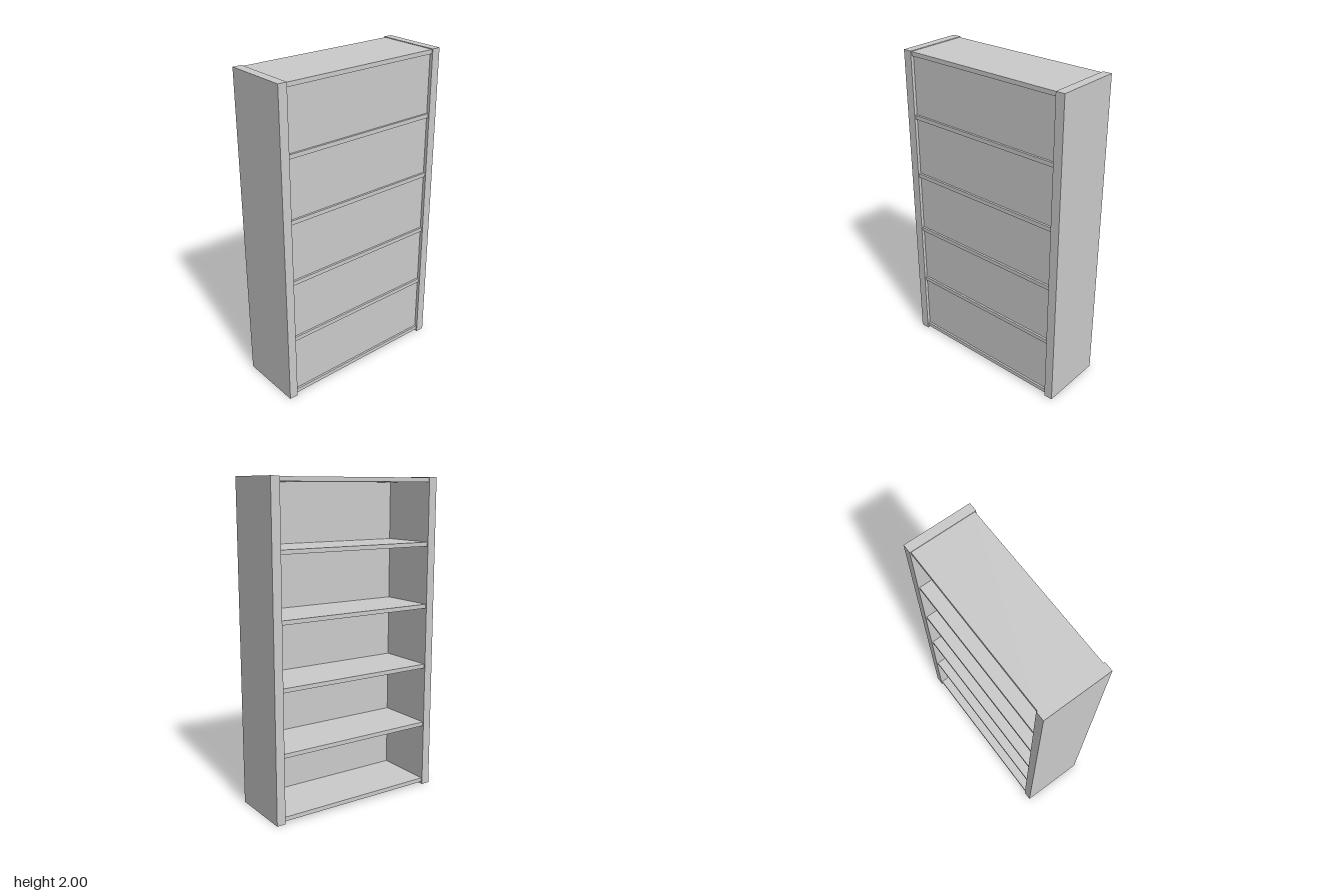
import * as THREE from 'three';

export function createModel() {
  const group = new THREE.Group();
  const material = new THREE.MeshStandardMaterial({ color: 0xcccccc });

  const board = (name, w, h, d, x, y, z) => {
    const mesh = new THREE.Mesh(new THREE.BoxGeometry(w, h, d), material);
    mesh.name = name;
    mesh.position.set(x, y, z);
    group.add(mesh);
  };

  // Thick side uprights, slightly deeper than the shelves
  const sideThickness = 0.056, halfWidth = 0.58;
  for (const s of [1, -1]) {
    board(s > 0 ? 'frontSide' : 'backSide', 0.415, 2, sideThickness,
      0, 1, s * (halfWidth - sideThickness / 2));
  }

  // Base, four shelves and top, evenly spaced; open towards -x
  const innerWidth = 2 * (halfWidth - sideThickness);
  const thickness = 0.026, firstY = 0.028, spacing = 0.391;
  const names = ['base', 'shelf1', 'shelf2', 'shelf3', 'shelf4', 'top'];
  names.forEach((name, i) =>
    board(name, 0.4, thickness, innerWidth, 0, firstY + i * spacing, 0));

  // Thin panels closing each bay, set in from the shelf edges on +x
  const bayHeight = spacing - thickness;
  for (let i = 0; i < 5; i++) {
    board('backPanel' + (i + 1), 0.008, bayHeight, innerWidth,
      0.183, firstY + (i + 0.5) * spacing, 0);
  }
  return group;
}
